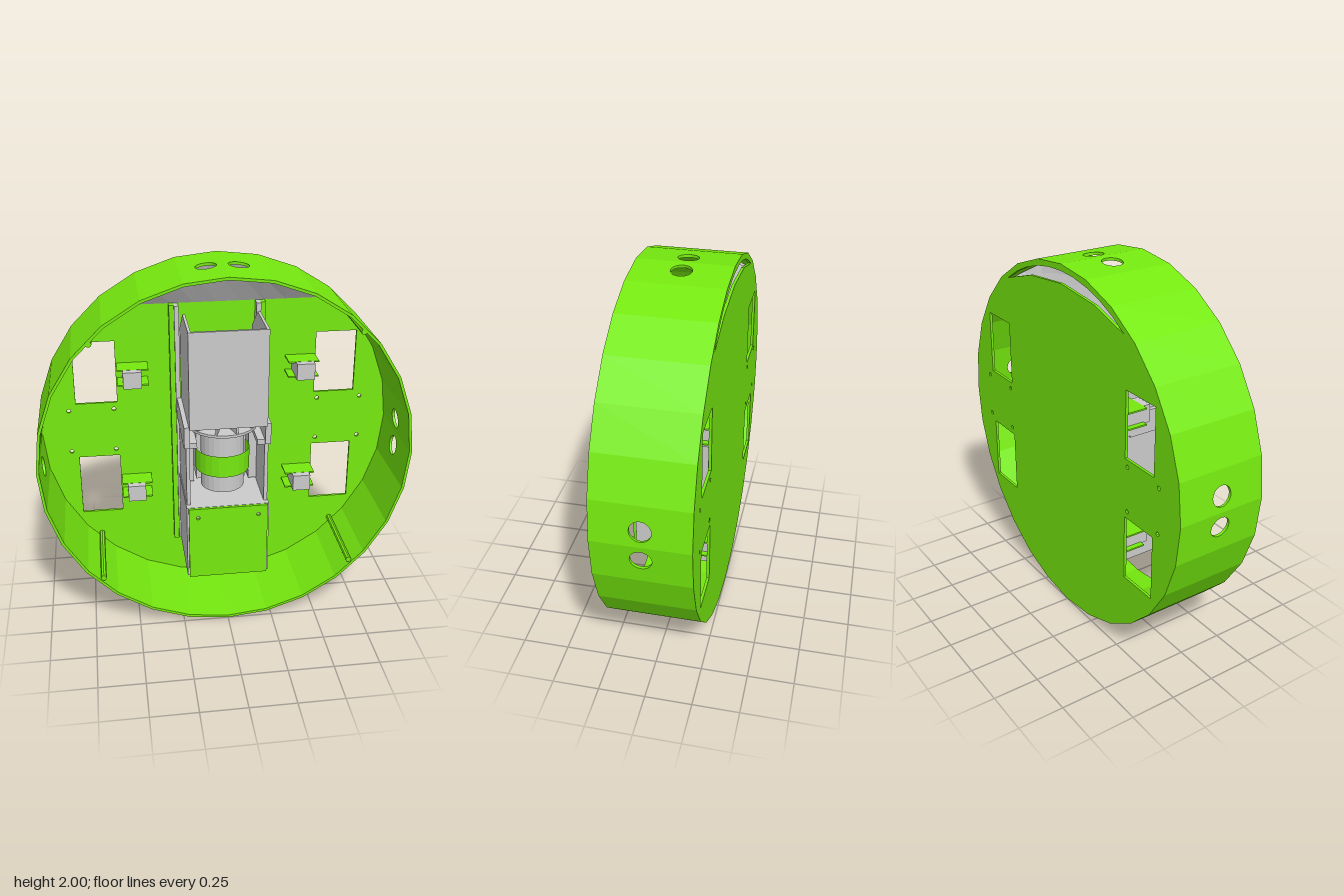
import * as THREE from 'three';

const green = new THREE.MeshStandardMaterial({ color: 0x76ea0f, flatShading: true });
const grey = new THREE.MeshStandardMaterial({ color: 0xcccccc, flatShading: true });
const greyThin = new THREE.MeshStandardMaterial({ color: 0xcccccc, flatShading: true, side: THREE.DoubleSide });
const greenThin = new THREE.MeshStandardMaterial({ color: 0x76ea0f, flatShading: true, side: THREE.DoubleSide });

const SIDES = 28, WALL = 0.015, BACK = -0.235;

export function createModel() {
  const model = new THREE.Group();

  const add = (name, geo, mat, x = 0, y = 0, z = 0) => {
    const m = new THREE.Mesh(geo, mat);
    m.name = name;
    m.position.set(x, y, z);
    model.add(m);
    return m;
  };
  // box given by its limits
  const box = (name, mat, x0, x1, y0, y1, z0, z1) =>
    add(name, new THREE.BoxGeometry(x1 - x0, y1 - y0, z1 - z0), mat, (x0 + x1) / 2, (y0 + y1) / 2, (z0 + z1) / 2);
  // the same box on both sides of x = 0
  const pair = (name, mat, x0, x1, ...rest) => {
    box(name + 'Left', mat, x0, x1, ...rest);
    box(name + 'Right', mat, -x1, -x0, ...rest);
  };
  const poly = (pts) => pts.map(([x, y]) => new THREE.Vector2(x, y));
  const rect = (x0, x1, y0, y1) => poly([[x0, y0], [x1, y0], [x1, y1], [x0, y1]]);
  const circle = (x, y, r, n = 12) => Array.from({ length: n }, (_, i) => {
    const a = (i / n) * Math.PI * 2;
    return new THREE.Vector2(x + r * Math.cos(a), y + r * Math.sin(a));
  });
  const plate = (outline, holes, depth) => {
    const s = new THREE.Shape(outline);
    holes.forEach((h) => s.holes.push(new THREE.Path(h)));
    return new THREE.ExtrudeGeometry(s, { depth, bevelEnabled: false });
  };

  // back plate with windows, screw holes and the curved slot
  const holes = [];
  for (const s of [-1, 1]) {
    for (const y of [0.48, 1.17]) holes.push(rect(s * 0.675 - 0.115, s * 0.675 + 0.115, y, y + 0.36));
    for (const y of [0.88, 1.13]) for (const x of [0.58, 0.83]) holes.push(circle(s * x, y, 0.012, 8));
  }
  const slot = [];
  for (let i = -5; i <= 5; i++) {
    const a = (i / 5) * 0.6;
    slot.push([0.965 * Math.sin(a), 1 + 0.965 * Math.cos(a)]);
  }
  slot.push([0.3, 1.87], [0, 1.9], [-0.3, 1.87]);
  holes.push(poly(slot));
  add('backPlate', plate(circle(0, 1, 0.999, SIDES), holes, WALL), green, 0, 0, -0.25);

  // faceted rim wall, paired round holes at both sides and the top
  const rim = new THREE.Group();
  rim.name = 'rimWall';
  model.add(rim);
  const step = (Math.PI * 2) / SIDES, half = Math.sin(step / 2), apothem = Math.cos(step / 2);
  const q = SIDES / 4;
  for (let i = 0; i < SIDES; i++) {
    const a = (i + 0.5) * step, cut = [];
    if ([0, q, 2 * q].includes(i)) cut.push(circle(-0.027, 0, 0.055, 20));
    if ([SIDES - 1, q - 1, 2 * q - 1].includes(i)) cut.push(circle(0.027, 0, 0.055, 20));
    const panel = new THREE.Mesh(plate(rect(-half, half, -0.25, 0.25), cut, WALL), green);
    panel.name = 'rimPanel';
    const out = new THREE.Vector3(Math.cos(a), Math.sin(a), 0);
    const tangent = new THREE.Vector3(-out.y, out.x, 0);
    panel.quaternion.setFromRotationMatrix(new THREE.Matrix4().makeBasis(tangent, new THREE.Vector3(0, 0, 1), out));
    panel.position.copy(out).multiplyScalar(apothem - WALL).add(new THREE.Vector3(0, 1, 0));
    rim.add(panel);
  }

  // screw posts along the wall
  for (const x of [-0.69, 0.69]) for (const y of [0.33, 1.69]) {
    add('screwPost', new THREE.CylinderGeometry(0.016, 0.016, 0.48, 8), green, x, y, 0.005).rotation.x = Math.PI / 2;
  }

  // curved hood over the slot, lofted from a straight foot to the rim
  const N = 10, pos = [], idx = [];
  for (let i = 0; i <= N; i++) {
    const u = (i / N) * 2 - 1, lift = 1 - u ** 4, a = u * 0.71;
    pos.push(0.63 * u, 1.73, BACK);
    pos.push(0.6 * u, 1.9 - 0.14 * u * u, BACK + 0.1 * lift);
    pos.push(0.975 * Math.sin(a), 1 + 0.975 * Math.cos(a), BACK + 0.13 * lift);
    if (i < N) for (const r of [0, 1]) {
      const k = i * 3 + r;
      idx.push(k, k + 3, k + 1, k + 1, k + 3, k + 4);
    }
  }
  const hood = new THREE.BufferGeometry();
  hood.setAttribute('position', new THREE.Float32BufferAttribute(pos, 3));
  hood.setIndex(idx);
  hood.computeVertexNormals();
  add('slotHood', hood, greyThin);

  // guide rails on the back plate
  pair('guideRail', green, 0.235, 0.262, 0.285, 1.73, BACK, -0.19);
  pair('railStrip', grey, 0.21, 0.235, 0.3, 1.73, BACK, -0.175);

  // hopper: front wall and side walls, open at the top and back
  box('hopperFront', grey, -0.205, 0.205, 1.2, 1.73, 0.24, 0.255);
  const side = poly([[-0.25, 1.2], [-0.25, 1.73], [0.03, 1.73], [0.2, 1.6], [0.2, 1.2]]);
  for (const x of [-0.205, 0.19]) {
    add('hopperSide', plate(side, [], 0.015), grey, x, 0, 0).rotation.y = Math.PI / 2;
  }

  // middle frame around the motor
  pair('frameSide', grey, 0.2, 0.22, 0.73, 1.2, -0.2, 0.2);
  pair('frameFlange', grey, 0.155, 0.2, 0.74, 1.1, -0.2, -0.05);
  pair('frameLip', grey, 0.2, 0.23, 1.08, 1.2, -0.2, 0.22);
  pair('frameArm', grey, 0.16, 0.23, 1.07, 1.1, 0.02, 0.2);
  box('frameBack', grey, -0.2, 0.2, 0.74, 1.2, -0.22, -0.2);

  // feed wheel with vanes
  add('wheelDisc', new THREE.CylinderGeometry(0.19, 0.19, 0.015, 24), grey, 0, 1.12, 0);
  add('wheelHub', new THREE.CylinderGeometry(0.06, 0.06, 0.08, 16), grey, 0, 1.15, 0);
  for (let i = 0; i < 5; i++) {
    add('wheelVane', new THREE.BoxGeometry(0.37, 0.07, 0.012), grey, 0, 1.155, 0).rotation.y = (i * Math.PI) / 5;
  }

  // motor and the clamp around it
  add('motor', new THREE.CylinderGeometry(0.12, 0.12, 0.34, 24), grey, 0, 0.92, 0);
  add('motorShaft', new THREE.CylinderGeometry(0.04, 0.04, 0.06, 12), grey, 0, 1.1, 0);
  add('motorClamp', new THREE.CylinderGeometry(0.15, 0.15, 0.125, 24, 1, true), greenThin, 0, 0.92, 0);
  pair('motorMount', grey, 0.1, 0.14, 0.75, 1.08, -0.2, -0.06);

  // lower housing with a screwed front cover
  box('lowerHousing', grey, -0.225, 0.225, 0.3, 0.73, -0.22, 0.235);
  const coverHoles = [-0.165, 0.165].map((x) => circle(x, 0.675, 0.011, 8));
  add('frontCover', plate(rect(-0.215, 0.215, 0.3, 0.73), coverHoles, 0.015), green, 0, 0, 0.238);

  // small latch units beside the windows
  for (const y of [0.665, 1.355]) {
    pair('latchBlock', grey, 0.425, 0.525, y - 0.047, y + 0.047, BACK, -0.08);
    for (const d of [-0.046, 0.04]) pair('latchChannel', green, 0.385, 0.555, y + d, y + d + 0.008, BACK, -0.12);
  }

  return model;
}
